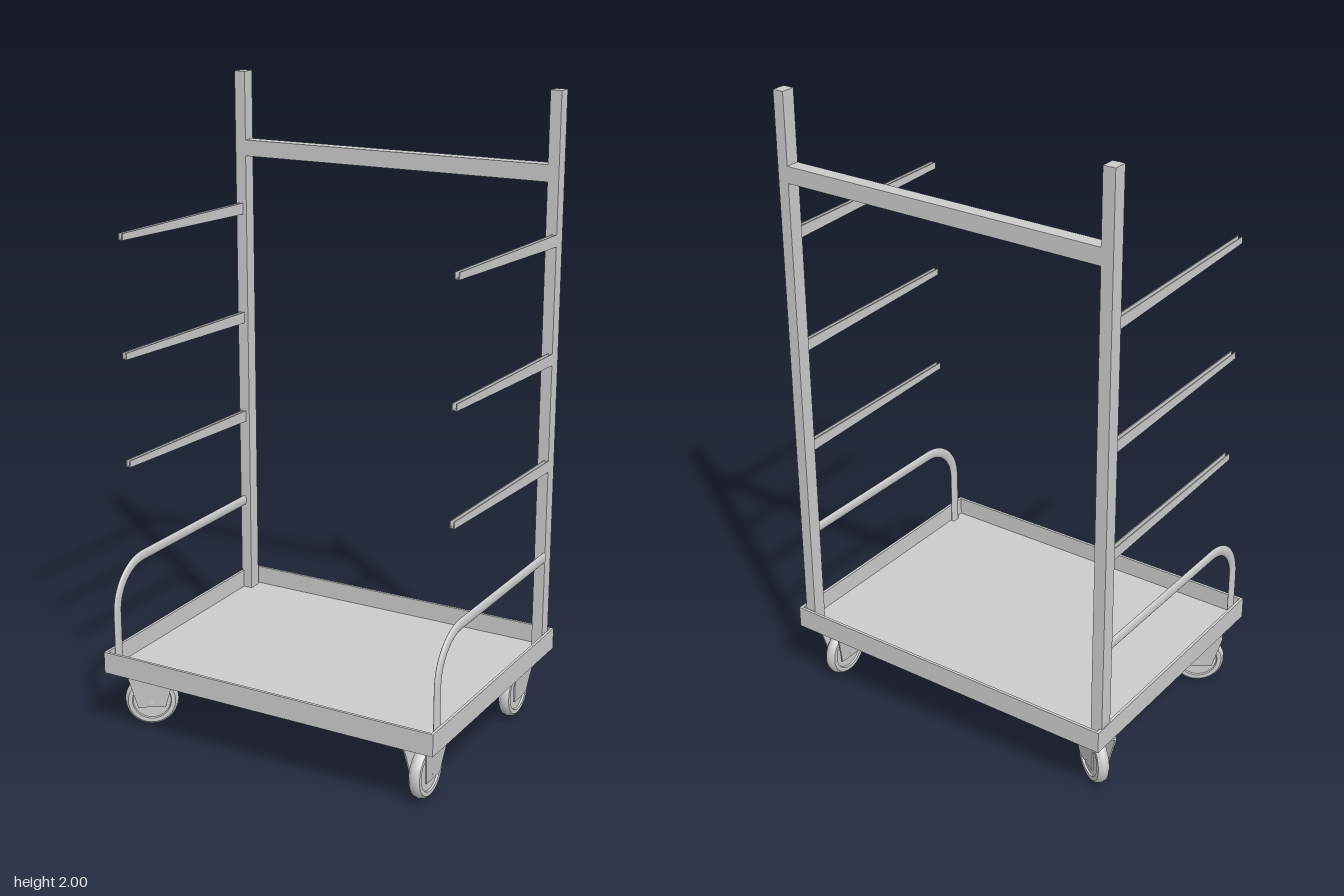
import * as THREE from 'three';
import { toCreasedNormals } from 'three/addons/utils/BufferGeometryUtils.js';

const material = new THREE.MeshStandardMaterial({ color: 0xcccccc, side: THREE.DoubleSide });

function add(parent, name, geometry, x = 0, y = 0, z = 0) {
  const mesh = new THREE.Mesh(geometry, material);
  mesh.name = name;
  mesh.position.set(x, y, z);
  parent.add(mesh);
  return mesh;
}

// box given by its lower and upper limits on each axis
function slab(parent, name, x0, x1, y0, y1, z0, z1) {
  return add(parent, name, new THREE.BoxGeometry(x1 - x0, y1 - y0, z1 - z0),
    (x0 + x1) / 2, (y0 + y1) / 2, (z0 + z1) / 2);
}

// shallow tray with upright rims
function makeTray() {
  const tray = new THREE.Group();
  tray.name = 'tray';
  const X = 0.575, Z = 0.435, t = 0.009, y0 = 0.205, y1 = 0.275;
  slab(tray, 'trayFloor', -X, X, y0, y0 + 0.01, -Z, Z);
  for (const s of [-1, 1]) {
    add(tray, 'traySideRim', new THREE.BoxGeometry(t, y1 - y0, 2 * Z), s * (X - t / 2), (y0 + y1) / 2, 0);
    add(tray, 'trayEndRim', new THREE.BoxGeometry(2 * (X - t), y1 - y0, t), 0, (y0 + y1) / 2, s * (Z - t / 2));
  }
  return tray;
}

// tapered open-topped channel that rises slightly towards its tip
function armGeometry() {
  const w = 0.008, t = 0.003;
  const shape = new THREE.Shape([
    [-w, 0], [w, 0], [w, 1], [w - t, 1], [w - t, 0.12], [t - w, 0.12], [t - w, 1], [-w, 1],
  ].map(([x, y]) => new THREE.Vector2(x, y)));
  const geo = new THREE.ExtrudeGeometry(shape, { depth: 1, bevelEnabled: false });
  const p = geo.attributes.position;
  for (let i = 0; i < p.count; i++) {
    const k = p.getZ(i);
    const low = THREE.MathUtils.lerp(-0.047, -0.021, k);
    const high = THREE.MathUtils.lerp(-0.01, 0, k);
    p.setXYZ(i, p.getX(i), THREE.MathUtils.lerp(low, high, p.getY(i)), -0.37 + 0.67 * k);
  }
  geo.computeVertexNormals();
  return geo;
}

// flattened tube: up from the tray, round the bend, back to the upright
function railGeometry() {
  const r = 0.145, y = 0.537, z = 0.379;
  const path = new THREE.CurvePath();
  const v = (a, b) => new THREE.Vector3(0, a, b);
  path.add(new THREE.LineCurve3(v(0.215, z), v(y - r, z)));
  const arc = [];
  for (let i = 0; i <= 12; i++) {
    const a = (i / 12) * Math.PI / 2;
    arc.push(v(y - r + r * Math.sin(a), z - r + r * Math.cos(a)));
  }
  for (let i = 0; i < 12; i++) path.add(new THREE.LineCurve3(arc[i], arc[i + 1]));
  path.add(new THREE.LineCurve3(v(y, z - r), v(y, -0.37)));
  const geo = new THREE.TubeGeometry(path, 90, 0.017, 16, false);
  geo.scale(0.45, 1, 1);
  return geo;
}

// one sloping leg of the caster fork
function forkLegGeometry(side) {
  const shape = new THREE.Shape([[-0.044, 0.065], [0.044, 0.065], [0.074, 0.178], [0.074, 0.188],
    [-0.074, 0.188], [-0.074, 0.178]].map(([a, b]) => new THREE.Vector2(a, b)));
  const geo = new THREE.ExtrudeGeometry(shape, { depth: 0.005, bevelEnabled: false });
  geo.rotateY(Math.PI / 2);
  const p = geo.attributes.position;
  for (let i = 0; i < p.count; i++) {
    const offset = 0.023 + 0.12 * (p.getY(i) - 0.065);
    p.setX(i, p.getX(i) - 0.0025 + side * offset);
  }
  geo.computeVertexNormals();
  return geo;
}

// wheel with rounded tread and recessed faces, axle along x
function wheelGeometry() {
  const profile = [[0, -0.012], [0.06, -0.012], [0.062, -0.018], [0.075, -0.018], [0.082, -0.012],
    [0.085, 0], [0.082, 0.012], [0.075, 0.018], [0.062, 0.018], [0.06, 0.012], [0, 0.012]];
  const geo = new THREE.LatheGeometry(profile.map(([r, h]) => new THREE.Vector2(r, h)), 40);
  geo.rotateZ(Math.PI / 2);
  return toCreasedNormals(geo, 0.7);
}

function makeCaster(x, z, turn) {
  const caster = new THREE.Group();
  caster.name = 'caster';
  caster.position.set(x, 0, z);
  caster.rotation.y = turn;
  add(caster, 'wheel', wheelGeometry(), 0, 0.085, 0);
  const axle = add(caster, 'axle', new THREE.CylinderGeometry(0.009, 0.009, 0.056, 12), 0, 0.085, 0);
  axle.rotation.z = Math.PI / 2;
  for (const s of [-1, 1]) add(caster, 'forkLeg', forkLegGeometry(s));
  slab(caster, 'forkCrown', -0.04, 0.04, 0.183, 0.19, -0.074, 0.074);
  add(caster, 'swivelPin', new THREE.CylinderGeometry(0.016, 0.016, 0.022, 20), 0, 0.198, 0);
  return caster;
}

export function createModel() {
  const model = new THREE.Group();
  model.name = 'shelfTrolley';
  model.add(makeTray());

  // rear frame
  slab(model, 'rightUpright', -0.573, -0.535, 0.215, 2, -0.414, -0.369);
  slab(model, 'leftUpright', 0.527, 0.563, 0.215, 2, -0.414, -0.369);
  slab(model, 'crossbar', -0.535, 0.527, 1.728, 1.78, -0.414, -0.369);

  // side arms and rails
  for (const s of [-1, 1]) {
    for (const y of [0.87, 1.214, 1.582]) add(model, 'sideArm', armGeometry(), s * 0.556, y, 0);
    add(model, 'sideRail', railGeometry(), s * 0.559, 0, 0);
  }

  // casters: one side straight, the other swivelled
  const turn = THREE.MathUtils.degToRad(57);
  model.add(makeCaster(0.49, 0.307, 0), makeCaster(0.49, -0.32, 0));
  model.add(makeCaster(-0.488, 0.307, -turn), makeCaster(-0.488, -0.32, turn));
  return model;
}
